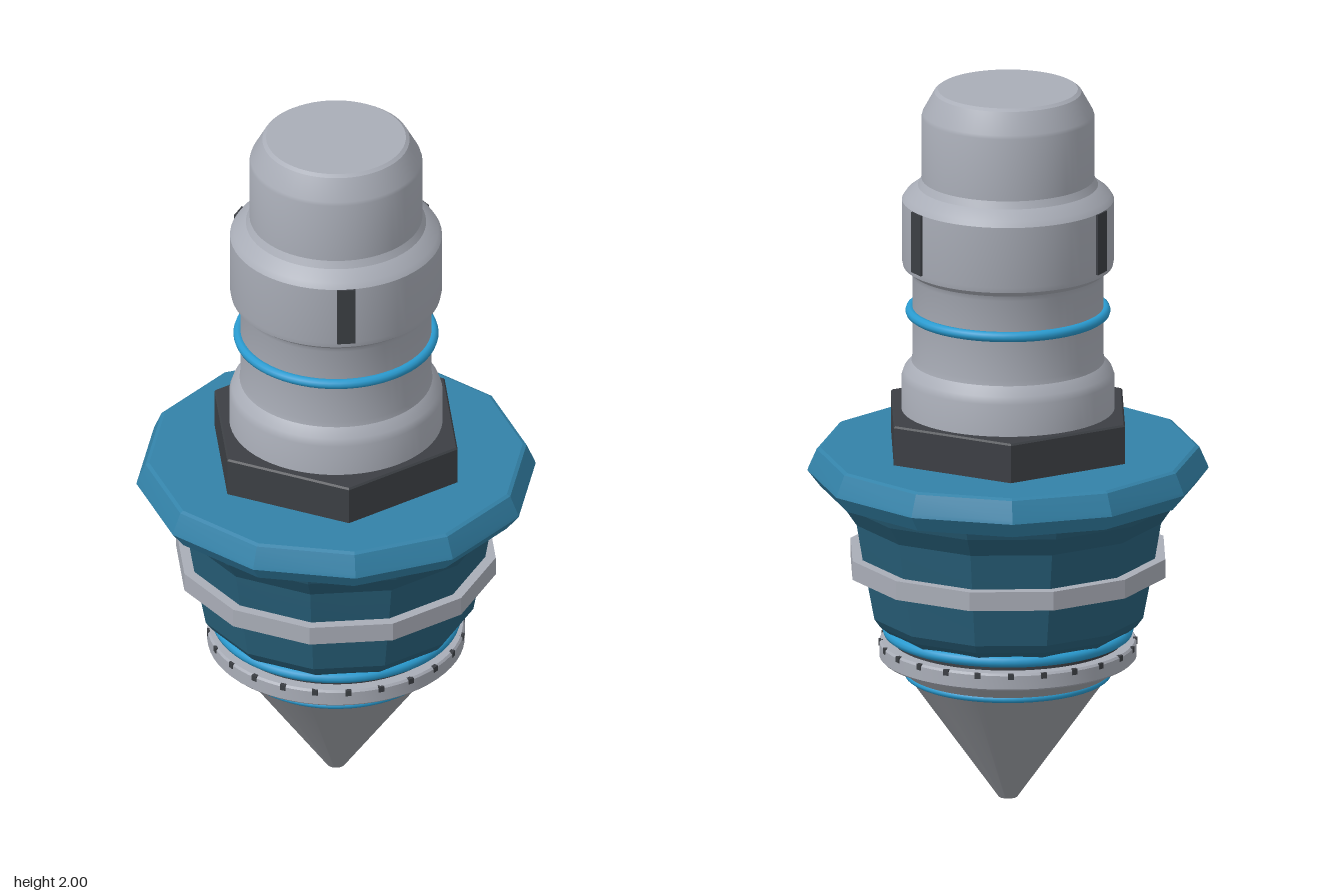
import * as THREE from 'three';
import { toCreasedNormals } from 'three/addons/utils/BufferGeometryUtils.js';

const mat = (name, color, flatShading = false) => {
  const m = new THREE.MeshStandardMaterial({ color, flatShading });
  m.name = name;
  return m;
};

export function createModel() {
  const group = new THREE.Group();
  const steel = mat('light steel', 0xa9adb7);
  const tipSteel = mat('tip steel', 0x9a9da3);
  const dark = mat('dark grey', 0x3c3f44);
  const blue = mat('flange blue', 0x3382a8);
  const teal = mat('dark teal', 0x28607a);
  const bright = mat('bright blue', 0x2a9bd0);

  const add = (name, geometry, material) => {
    const mesh = new THREE.Mesh(geometry, material);
    mesh.name = name;
    group.add(mesh);
    return mesh;
  };
  // Turned part from [radius, height] pairs, listed bottom to top
  const turned = (name, profile, material, sides = 64, crease = 0.45, turn = 0) => {
    const pts = profile.map(([r, y]) => new THREE.Vector2(r, y));
    const geo = toCreasedNormals(new THREE.LatheGeometry(pts, sides), crease);
    return add(name, geo.rotateY(turn), material);
  };
  const ring = (name, radius, tube, y) => {
    const geo = new THREE.TorusGeometry(radius, tube, 10, 64).rotateX(Math.PI / 2);
    add(name, geo, bright).position.y = y;
  };

  // Stepped upper barrel
  turned('barrel', [
    [0, 1.05], [0.29, 1.05], [0.29, 1.19], [0.283, 1.21], [0.262, 1.235], [0.26, 1.25],
    [0.26, 1.475], [0.266, 1.49], [0.285, 1.505], [0.288, 1.52], [0.288, 1.69],
    [0.278, 1.705], [0.245, 1.73], [0.235, 1.75], [0.235, 1.925], [0.232, 1.935],
    [0.2, 1.993], [0.19, 2], [0, 2],
  ], steel);
  ring('barrelRing', 0.265, 0.014, 1.375);

  // Three slot plates around the barrel
  for (let i = 0; i < 3; i++) {
    const a = (i * Math.PI * 2) / 3;
    const slot = add('barrelSlot', new THREE.BoxGeometry(0.02, 0.17, 0.05), dark);
    slot.position.set(0.283 * Math.cos(a), 1.605, 0.283 * Math.sin(a));
    slot.rotation.y = -a;
  }

  // Hexagonal nut
  turned('hexNut', [[0, 0.97], [0.363, 0.97], [0.363, 1.095], [0.358, 1.1], [0, 1.1]],
    dark, 6, 0.2, Math.PI / 6);

  // Twelve-sided flange
  turned('flange', [[0, 0.88], [0.51, 0.88], [0.545, 0.925], [0.542, 0.935], [0.52, 0.985], [0.51, 0.99], [0, 0.99]],
    blue, 12, 0.2);

  // Faceted housing and its band, turned half a facet from the flange
  const half = Math.PI / 12;
  turned('housing', [
    [0, 0.485], [0.335, 0.485], [0.36, 0.505], [0.378, 0.53], [0.4, 0.645],
    [0.411, 0.7], [0.428, 0.8], [0.465, 0.855], [0.477, 0.885], [0, 0.885],
  ], teal, 12, 0.1, half);
  turned('housingBand', [[0.39, 0.647], [0.44, 0.647], [0.44, 0.7], [0.39, 0.7]], steel, 12, 0.2, half);

  // Neck, blue seal and notched collar
  turned('neck', [[0.315, 0.42], [0.315, 0.5]], dark);
  ring('neckRing', 0.325, 0.016, 0.474);
  turned('collar', [[0, 0.397], [0.345, 0.397], [0.35, 0.402], [0.35, 0.44], [0.345, 0.446], [0, 0.446]], steel);
  for (let i = 0; i < 24; i++) {
    const a = (i * Math.PI) / 12;
    const notch = add('collarNotch', new THREE.BoxGeometry(0.016, 0.016, 0.012), dark);
    notch.position.set(0.346 * Math.sin(a), 0.438, 0.346 * Math.cos(a));
    notch.rotation.y = a;
  }

  // Cone tip with its thin ring
  turned('coneTip', [[0, 0], [0.026, 0], [0.03, 0.006], [0.274, 0.35], [0.308, 0.398]], tipSteel);
  ring('coneRing', 0.272, 0.01, 0.352);

  return group;
}
